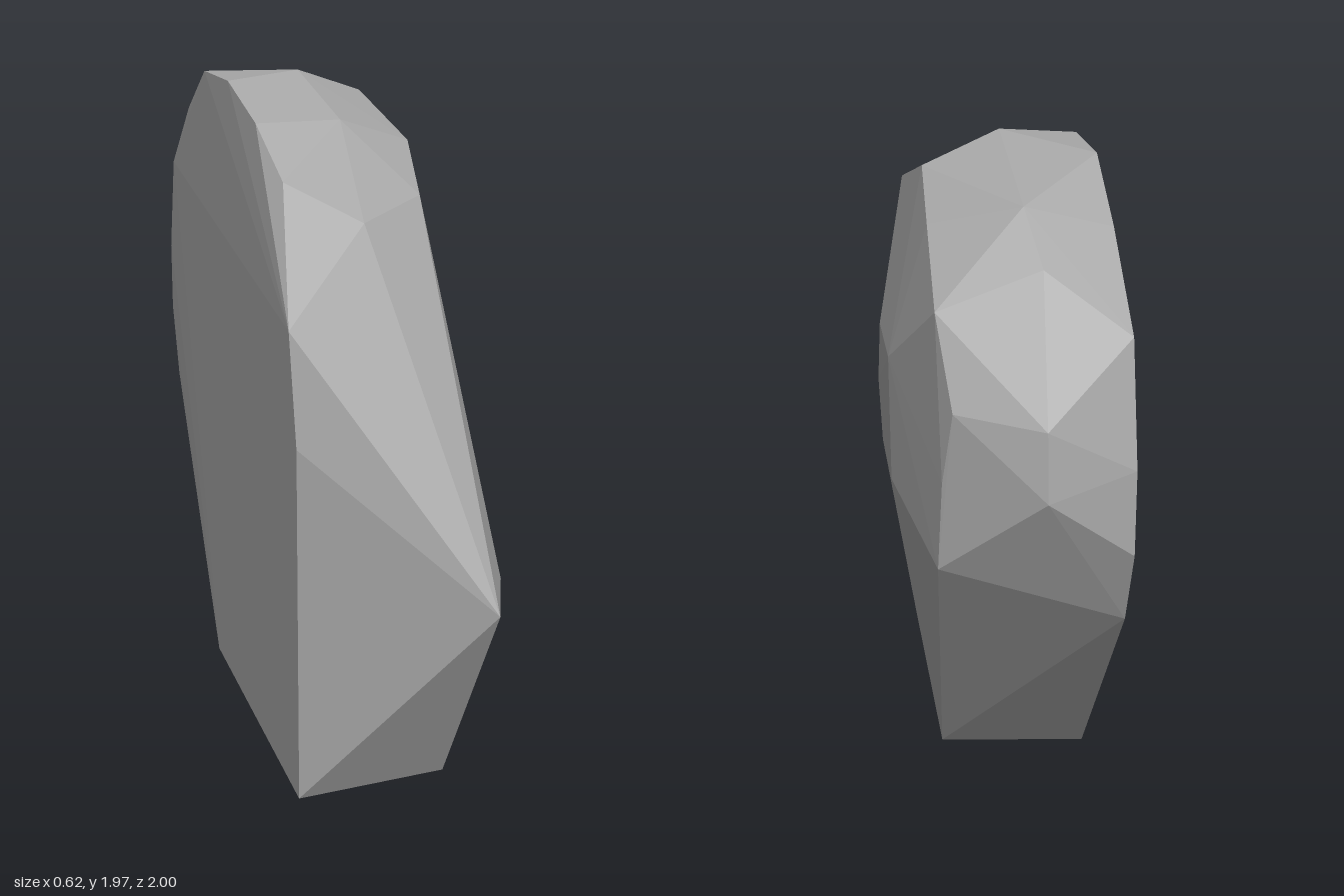
import * as THREE from 'three';
import { ConvexGeometry } from 'three/addons/geometries/ConvexGeometry.js';

// Rings of corners [x, y, z]; the boulder is the convex hull around them
const base = [[-0.31, 0, 0.66], [0.14, 0, 0.66], [0.14, 0, -0.19], [-0.31, 0, -0.25]];
const prow = [[0.14, 0.69, 1], [0.235, 0.69, 0.8], [-0.31, 1.09, 0.66], [-0.31, 1.4, 0.6]];
const flatSideRim = [
  [-0.245, 1.74, 0.35], [-0.265, 1.87, 0.16], [-0.265, 1.95, -0.13], [-0.265, 1.945, -0.41],
  [-0.265, 1.8, -0.635], [-0.27, 1.58, -0.87], [-0.27, 1.26, -0.96], [-0.27, 1.03, -0.97],
  [-0.275, 0.8, -0.88],
];
const crest = [
  [-0.04, 1.63, 0.43], [-0.02, 1.87, 0.17], [-0.04, 1.97, -0.16], [-0.03, 1.86, -0.64],
  [-0.06, 1.73, -0.77], [-0.04, 1.38, -0.975], [-0.04, 1.2, -1],
];
const bulgeSideRim = [
  [0.17, 1.67, 0.31], [0.21, 1.79, 0.11], [0.185, 1.89, -0.24], [0.2, 1.79, -0.5],
  [0.21, 1.63, -0.76], [0.18, 1.4, -0.87], [0.205, 1.2, -0.84], [0.215, 0.95, -0.82],
];
const bulge = [
  [0.3, 1.39, -0.38], [0.3, 1.39, -0.07], [0.305, 1.2, -0.02], [0.305, 1.05, -0.15],
  [0.3, 1.03, -0.4], [0.235, 0.69, -0.42],
];

export function createModel() {
  const stone = new THREE.MeshStandardMaterial({ color: 0xa6a6a6, flatShading: true });
  stone.name = 'grey stone';

  const corners = [base, prow, flatSideRim, crest, bulgeSideRim, bulge].flat();
  const boulder = new THREE.Mesh(
    new ConvexGeometry(corners.map((c) => new THREE.Vector3(...c))),
    stone,
  );
  boulder.name = 'boulder';

  const group = new THREE.Group();
  group.name = 'rock';
  group.add(boulder);
  return group;
}
